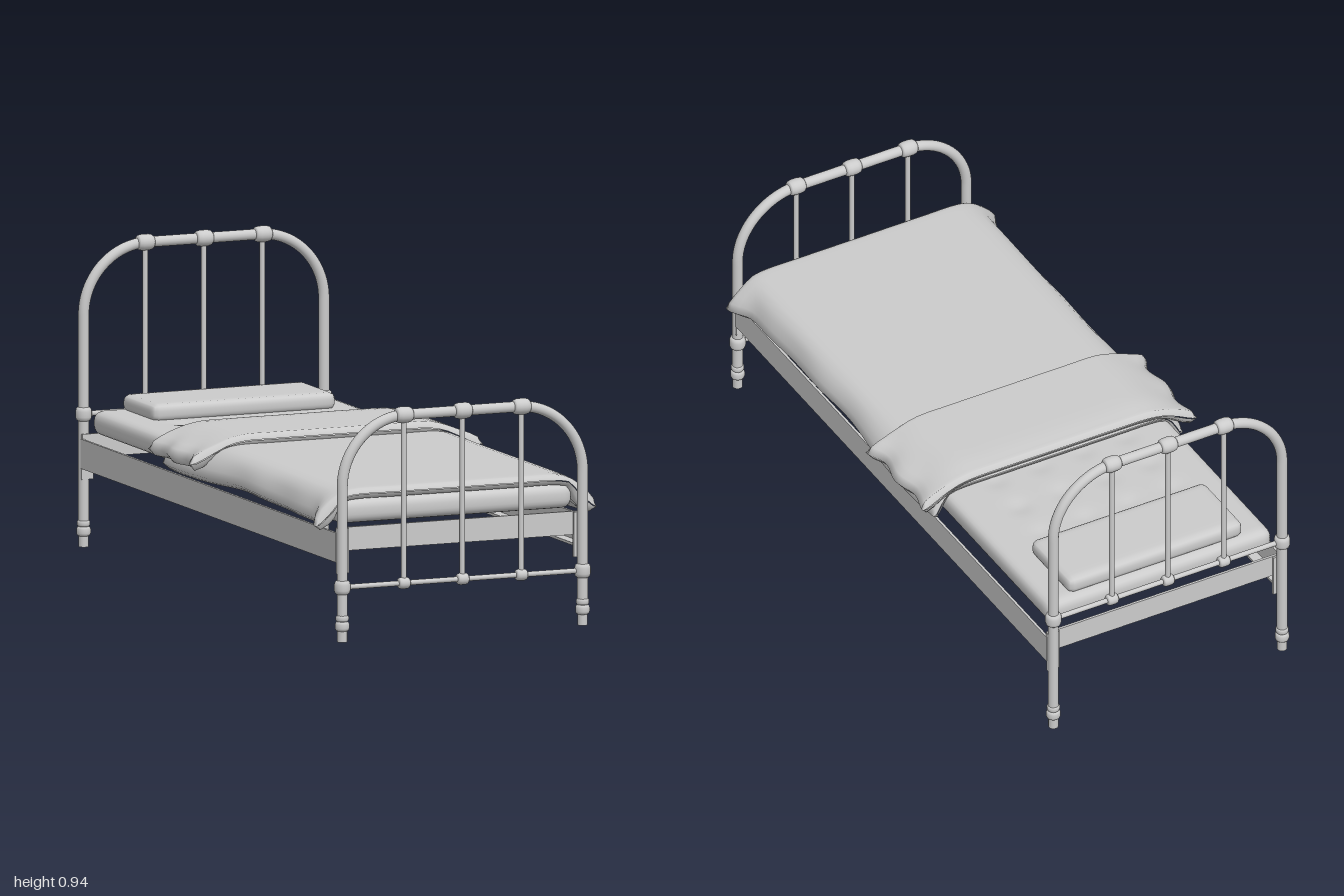
import * as THREE from 'three';
import { mergeVertices } from 'three/addons/utils/BufferGeometryUtils.js';

const material = new THREE.MeshStandardMaterial({ color: 0xcccccc, roughness: 0.8 });
const POST_X = 0.397, END_Z = 0.975, BARS = [-0.194, 0, 0.194];

function add(parent, name, geometry, x = 0, y = 0, z = 0) {
  const mesh = new THREE.Mesh(geometry, material);
  mesh.name = name;
  mesh.position.set(x, y, z);
  parent.add(mesh);
  return mesh;
}

// Barrel-shaped joint with softened rims, along y
function knob(r, h) {
  const pts = [[0, -h], [0.7 * r, -h], [0.9 * r, -0.8 * h], [r, -0.4 * h], [r, 0.4 * h], [0.9 * r, 0.8 * h], [0.7 * r, h], [0, h]];
  return new THREE.LatheGeometry(pts.map(p => new THREE.Vector2(...p)), 20);
}

function rod(r, length) {
  return new THREE.CylinderGeometry(r, r, length, 14);
}

// Bent tube: two posts joined by rounded shoulders
function archGeometry(top, bottom) {
  const R = 0.21, k = R * 0.45, v = (x, y) => new THREE.Vector3(x, y, 0);
  const path = new THREE.CurvePath();
  const X = POST_X;
  path.add(new THREE.LineCurve3(v(-X, bottom), v(-X, top - R)));
  path.add(new THREE.CubicBezierCurve3(v(-X, top - R), v(-X, top - k), v(-X + k, top), v(-X + R, top)));
  path.add(new THREE.LineCurve3(v(-X + R, top), v(X - R, top)));
  path.add(new THREE.CubicBezierCurve3(v(X - R, top), v(X - k, top), v(X, top - k), v(X, top - R)));
  path.add(new THREE.LineCurve3(v(X, top - R), v(X, bottom)));
  return new THREE.TubeGeometry(path, 160, 0.0165, 16);
}

// Head or foot end: arch, legs, bars and joints
function bedEnd(name, z, top, crossY) {
  const end = new THREE.Group();
  end.name = name;
  end.position.z = z;
  add(end, 'arch', archGeometry(top, 0.27));
  for (const s of [-1, 1]) {
    const x = s * POST_X;
    add(end, 'foot', rod(0.0155, 0.06), x, 0.265);
    add(end, 'footCollar', knob(0.022, 0.015), x, 0.283);
    add(end, 'upperCollar', knob(0.02, 0.01), x, 0.307);
    add(end, 'postJoint', knob(0.025, 0.021), x, crossY);
  }
  add(end, 'crossbar', rod(0.008, POST_X * 2), 0, crossY).rotation.z = Math.PI / 2;
  for (const x of BARS) {
    add(end, 'bar', rod(0.0085, top - crossY), x, (top + crossY) / 2);
    add(end, 'topJoint', knob(0.025, 0.027), x, top).rotation.z = Math.PI / 2;
    add(end, 'lowerJoint', knob(0.018, 0.018), x, crossY).rotation.z = Math.PI / 2;
  }
  return end;
}

// Subdivided box with rounded edges, optionally reshaped by a rule
function cushion(w, h, d, r, segments, rule) {
  const g = new THREE.BoxGeometry(w, h, d, ...segments);
  g.deleteAttribute('normal');
  g.deleteAttribute('uv');
  const p = g.attributes.position, v = new THREE.Vector3();
  const inner = new THREE.Vector3(w / 2 - r, h / 2 - r, d / 2 - r);
  for (let i = 0; i < p.count; i++) {
    v.fromBufferAttribute(p, i);
    const core = v.clone().clamp(inner.clone().negate(), inner);
    v.sub(core);
    if (v.length() > r) v.setLength(r);
    v.add(core);
    if (rule) rule(v);
    p.setXYZ(i, v.x, v.y, v.z);
  }
  const merged = mergeVertices(g, 1e-5);
  merged.computeVertexNormals();
  return merged;
}

// Thick cloth lofted along z; section(z) gives the right half of its outline, top centre to underside centre
function cloth(z0, z1, steps, section) {
  const N = 72, rings = steps + 5, pos = [], index = [];
  // end rings shrink to round off the hem
  const ends = [[0, 0.05], [0.004, 0.6], [0.012, 0.9]];
  const stations = ends.map(([d, s]) => [z0 + d, s]);
  for (let i = 1; i < steps; i++) stations.push([z0 + (z1 - z0) * i / steps, 1]);
  stations.push(...ends.map(([d, s]) => [z1 - d, s]).reverse());
  for (const [z, s] of stations) {
    const half = section(z);
    const loop = [...half, ...half.slice(1, -1).reverse().map(([x, y]) => [-x, y])];
    const curve = new THREE.CatmullRomCurve3(loop.map(([x, y]) => new THREE.Vector3(x, y, z)), true, 'centripetal');
    const pts = curve.getSpacedPoints(N).slice(0, N);
    pts.forEach((p, i) => {
      // shrink toward the mid-thickness by pairing the top and underside
      const q = pts[(N - i + N / 2) % N];
      const m = q.x * p.x >= 0 ? q : pts[(N / 2 - i + N) % N];
      const y = (p.y + m.y) / 2, x = (p.x + m.x) / 2;
      pos.push(x + (p.x - x) * s, y + (p.y - y) * s, z);
    });
  }
  for (let j = 0; j < rings - 1 + 0; j++) for (let i = 0; i < N; i++) {
    const a = j * N + i, b = j * N + (i + 1) % N;
    if (b + N < pos.length / 3) index.push(a, a + N, b, b, a + N, b + N);
  }
  const g = new THREE.BufferGeometry();
  g.setAttribute('position', new THREE.Float32BufferAttribute(pos, 3));
  g.setIndex(index);
  g.computeVertexNormals();
  return g;
}

const bump = (z, centre, width) => Math.exp(-(((z - centre) / width) ** 2));

export function createModel() {
  const bed = new THREE.Group();
  bed.name = 'bed';
  bed.add(bedEnd('headboard', -END_Z, 1.155, 0.642));
  bed.add(bedEnd('footboard', END_Z, 0.918, 0.402));

  // Angle-iron frame
  const frame = new THREE.Group();
  frame.name = 'frame';
  bed.add(frame);
  for (const s of [-1, 1]) {
    add(frame, 'sideRail', new THREE.BoxGeometry(0.008, 0.091, 1.92), s * 0.409, 0.5225, 0);
    add(frame, 'railFlange', new THREE.BoxGeometry(0.04, 0.008, 1.92), s * 0.393, 0.481, 0);
    add(frame, 'endRail', new THREE.BoxGeometry(0.82, 0.072, 0.008), 0, 0.547, s * 0.957);
    for (const x of [-0.391, 0.391])
      add(frame, 'bracket', new THREE.BoxGeometry(0.04, 0.138, 0.01), x, 0.512, s * 0.963);
  }

  // Mattress with tufted dimples at the head end
  const mattress = cushion(0.78, 0.075, 1.86, 0.03, [52, 8, 124], v => {
    if (v.y < 0.02) return;
    for (const x of [-0.23, -0.08, 0.07, 0.22])
      for (const z of [-0.6, -0.45, -0.3])
        v.y -= 0.007 * bump(Math.hypot(v.x - x, v.z - z), 0, 0.035);
  });
  add(bed, 'mattress', mattress, 0, 0.622, -0.005);
  add(bed, 'pillow', cushion(0.605, 0.055, 0.245, 0.022, [32, 8, 16]), 0.003, 0.68, -0.79);

  // Blanket hanging over both sides, flaring at the foot
  add(bed, 'blanket', cloth(-0.3, 0.93, 50, z => {
    const w = 0.425 + 0.042 * bump(z, 0.92, 0.06) + 0.02 * bump(z, -0.1, 0.18) + 0.003 * Math.sin(z * 19);
    const hem = 0.578 + 0.012 * bump(z, 0.3, 0.25) - 0.008 * bump(z, 0.92, 0.06);
    return [[0, 0.692], [0.2, 0.692], [0.35, 0.689], [0.395, 0.672], [w - 0.006, hem + 0.045], [w, hem + 0.015],
      [w - 0.016, hem], [0.398, hem + 0.03], [0.375, 0.65], [0.34, 0.657], [0.2, 0.658], [0, 0.658]];
  }), 0, 0, 0);

  // Turned-back fold lying across the middle
  add(bed, 'blanketFold', cloth(-0.31, 0.03, 30, z => {
    const w = 0.468 + 0.009 * Math.cos((z + 0.14) * 36) + 0.008 * bump(z, 0.02, 0.03);
    const lift = -0.006 * bump(z, -0.31, 0.05);
    return [[0, 0.723 + lift], [0.2, 0.723 + lift], [0.32, 0.72 + lift], [0.4, 0.694], [w - 0.008, 0.66], [w, 0.642],
      [w - 0.018, 0.62], [0.41, 0.646], [0.36, 0.672], [0.3, 0.682], [0.2, 0.684], [0, 0.684]];
  }));
  return bed;
}
